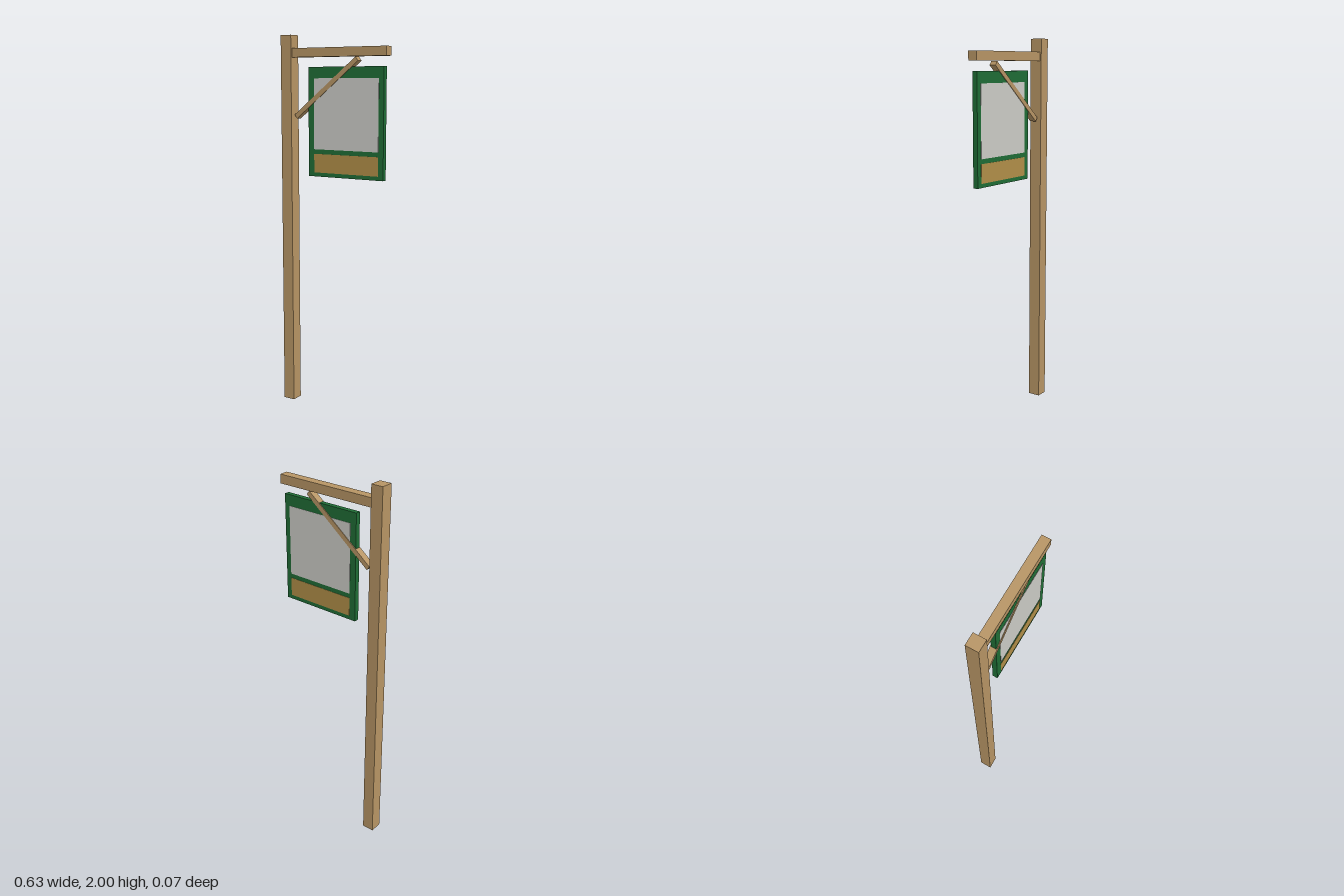
import * as THREE from 'three';

const material = (name, color) => {
  const m = new THREE.MeshStandardMaterial({ color });
  m.name = name;
  return m;
};

export function createModel() {
  const group = new THREE.Group();
  const wood = material('wood', 0xb69464);
  const green = material('green paint', 0x1f6c35);
  const gold = material('gold paint', 0xb08e48);
  const grey = material('pale grey paint', 0xcbcbc6);

  // Box given by its extents in x and y, and its depth centred on z
  function box(name, mat, x0, x1, y0, y1, depth, z = 0) {
    const mesh = new THREE.Mesh(new THREE.BoxGeometry(x1 - x0, y1 - y0, depth), mat);
    mesh.position.set((x0 + x1) / 2, (y0 + y1) / 2, z);
    mesh.name = name;
    group.add(mesh);
    return mesh;
  }

  // Timber frame
  box('post', wood, -0.315, -0.25, 0, 2, 0.066);
  box('beam', wood, -0.25, 0.315, 1.885, 1.932, 0.048);

  // Diagonal brace, passing through the board
  const brace = box('brace', wood, -0.283, 0.193, 1.713, 1.738, 0.036);
  brace.rotation.z = 0.67;

  // Hanging board with painted panels on both faces
  box('signBoard', green, -0.153, 0.297, 1.267, 1.835, 0.027);
  for (const [side, s] of [['front', 1], ['back', -1]]) {
    box(side + 'PicturePanel', grey, -0.118, 0.268, 1.41, 1.777, 0.003, s * 0.0135);
    box(side + 'NamePanel', gold, -0.118, 0.268, 1.288, 1.386, 0.003, s * 0.0135);
  }
  return group;
}
